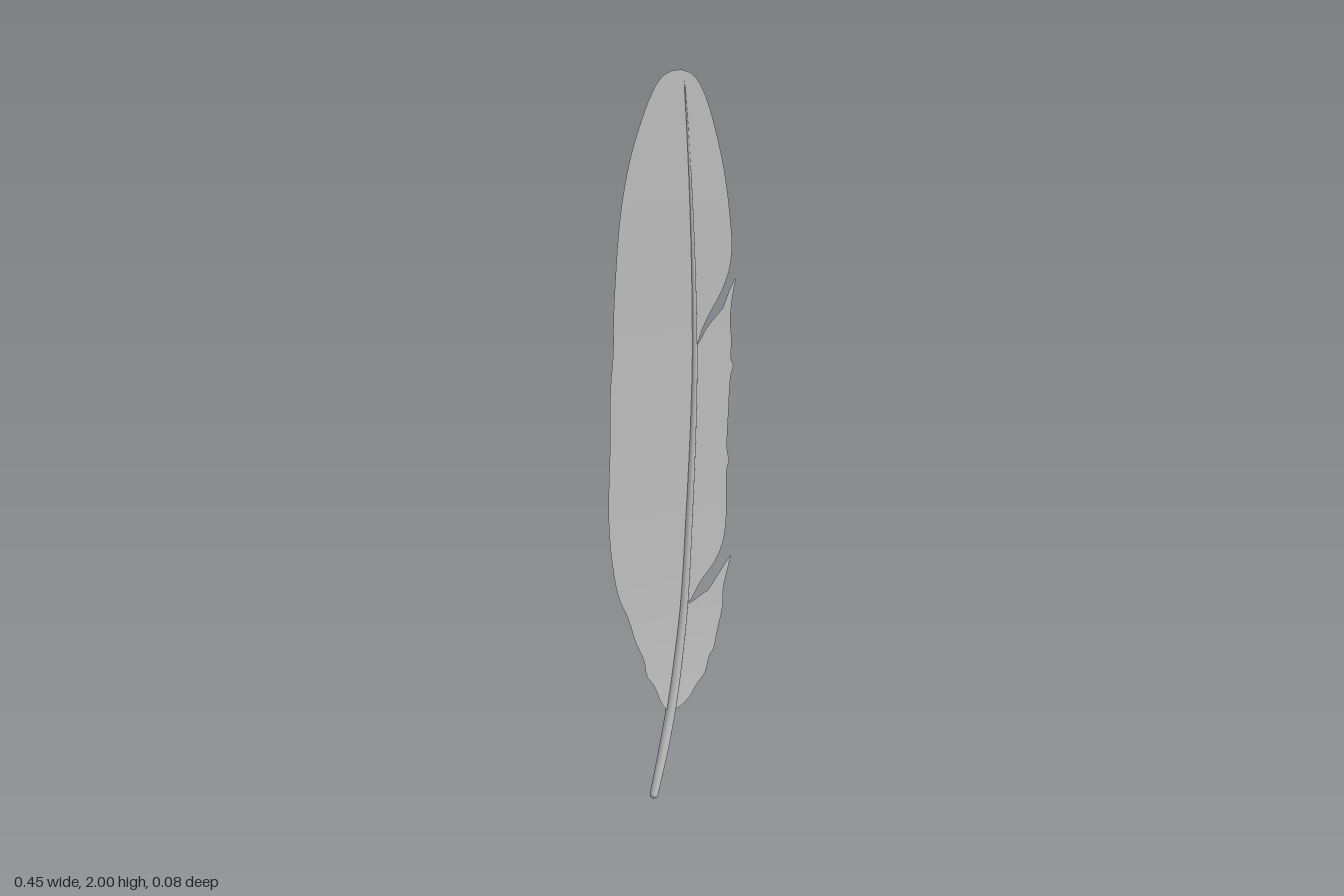
import * as THREE from 'three';

const grey = new THREE.MeshStandardMaterial({ color: 0xc0c0c0, side: THREE.DoubleSide });
grey.name = 'feather grey';

// Centre line of the feather: x, y, z, and shaft radius
const SPINE = [
  [-0.117, 0.012, 0.027, 0.012], [-0.072, 0.12, 0.012, 0.014], [-0.03, 0.23, -0.004, 0.0145],
  [0.004, 0.36, -0.015, 0.014], [0.036, 0.53, -0.024, 0.0125], [0.06, 0.8, -0.029, 0.011],
  [0.073, 1.05, -0.028, 0.0095], [0.074, 1.26, -0.024, 0.008], [0.056, 1.6, -0.015, 0.0055],
  [0.023, 1.96, -0.006, 0.002], [0.01, 2.0, -0.005, 0.001],
];

// Smooth lookup of one spine column at height y
function spineAt(y, col) {
  let i = 0;
  while (i < SPINE.length - 2 && SPINE[i + 1][1] < y) i++;
  const slope = (k) => {
    const a = SPINE[Math.max(k - 1, 0)], b = SPINE[Math.min(k + 1, SPINE.length - 1)];
    return (b[col] - a[col]) / (b[1] - a[1]);
  };
  const a = SPINE[i], b = SPINE[i + 1], h = b[1] - a[1];
  const t = THREE.MathUtils.clamp((y - a[1]) / h, 0, 1), t2 = t * t, t3 = t2 * t;
  return (2 * t3 - 3 * t2 + 1) * a[col] + (t3 - 2 * t2 + t) * h * slope(i)
    + (3 * t2 - 2 * t3) * b[col] + (t3 - t2) * h * slope(i + 1);
}

// Thin sheet from the spine (yTop to yBottom) out to an edge curve, bent with the spine
function vane(name, yTop, yBottom, edge, side) {
  const rows = 110, cols = 6, pos = [], index = [];
  const curve = new THREE.CatmullRomCurve3(
    edge.map(([x, y]) => new THREE.Vector3(x, y, 0)), false, 'centripetal');
  curve.getSpacedPoints(rows).forEach((p, r) => {
    const yIn = THREE.MathUtils.lerp(yTop, yBottom, r / rows), xIn = spineAt(yIn, 0);
    for (let c = 0; c <= cols; c++) {
      const x = THREE.MathUtils.lerp(xIn, p.x, c / cols);
      const y = THREE.MathUtils.lerp(yIn, p.y, c / cols);
      pos.push(x, y, spineAt(y, 2));
      if (r < rows && c < cols) {
        const a = r * (cols + 1) + c, b = a + 1, d = a + cols + 1, e = d + 1;
        if (side > 0) index.push(a, d, b, b, d, e);
        else index.push(a, b, d, b, e, d);
      }
    }
  });
  const geo = new THREE.BufferGeometry();
  geo.setAttribute('position', new THREE.Float32BufferAttribute(pos, 3));
  geo.setIndex(index);
  geo.computeVertexNormals();
  const mesh = new THREE.Mesh(geo, grey);
  mesh.name = name;
  return mesh;
}

// Tapered round shaft that follows the spine
function shaft() {
  const rings = 80, yEnd = 1.96;
  const points = [];
  for (let i = 0; i <= rings; i++) {
    const y = THREE.MathUtils.lerp(0.012, yEnd, i / rings);
    points.push(new THREE.Vector3(spineAt(y, 0), y, spineAt(y, 2)));
  }
  const curve = new THREE.CatmullRomCurve3(points);
  const geo = new THREE.TubeGeometry(curve, rings, 1, 12, false);
  const p = geo.attributes.position, v = new THREE.Vector3();
  for (let i = 0; i < p.count; i++) {
    const centre = curve.getPointAt(Math.floor(i / 13) / rings);
    v.fromBufferAttribute(p, i).sub(centre).multiplyScalar(spineAt(centre.y, 3)).add(centre);
    p.setXYZ(i, v.x, v.y, v.z);
  }
  const mesh = new THREE.Mesh(geo, grey);
  mesh.name = 'shaft';
  return mesh;
}

export function createModel() {
  const feather = new THREE.Group();
  feather.name = 'feather';
  feather.add(shaft());

  // Rounded foot of the shaft
  const foot = new THREE.Mesh(new THREE.SphereGeometry(0.012, 14, 10), grey);
  foot.name = 'shaftFoot';
  foot.position.set(-0.117, 0.012, 0.027);
  feather.add(foot);

  // Unbroken vane on the -x side
  feather.add(vane('wideVane', 2.0, 0.225, [
    [0.01, 2.0], [-0.03, 1.993], [-0.065, 1.97], [-0.095, 1.925], [-0.125, 1.86], [-0.155, 1.78],
    [-0.18, 1.68], [-0.195, 1.58], [-0.205, 1.45], [-0.21, 1.34], [-0.21, 1.26], [-0.218, 1.17],
    [-0.22, 1.0], [-0.226, 0.82], [-0.218, 0.7], [-0.197, 0.59], [-0.165, 0.52], [-0.142, 0.45],
    [-0.115, 0.39], [-0.108, 0.345], [-0.085, 0.315], [-0.06, 0.255], [-0.035, 0.225],
  ], -1));

  // Vane on the +x side, split in three by two slits
  feather.add(vane('upperVane', 2.0, 1.265, [
    [0.01, 2.0], [0.045, 1.992], [0.075, 1.968], [0.105, 1.92], [0.14, 1.835], [0.17, 1.74],
    [0.193, 1.63], [0.205, 1.53], [0.198, 1.47], [0.172, 1.41], [0.13, 1.35], [0.102, 1.305],
    [0.085, 1.265],
  ], 1));
  feather.add(vane('middleVane', 1.262, 0.53, [
    [0.085, 1.262], [0.12, 1.31], [0.155, 1.342], [0.18, 1.365], [0.2, 1.41], [0.222, 1.442],
    [0.212, 1.39], [0.206, 1.33], [0.212, 1.27], [0.213, 1.21], [0.222, 1.195], [0.213, 1.17],
    [0.206, 1.06], [0.203, 0.95], [0.211, 0.92], [0.203, 0.9], [0.2, 0.75], [0.186, 0.68],
    [0.155, 0.63], [0.1, 0.58], [0.06, 0.53],
  ], 1));
  feather.add(vane('lowerVane', 0.525, 0.225, [
    [0.06, 0.525], [0.11, 0.545], [0.155, 0.56], [0.185, 0.6], [0.217, 0.64], [0.202, 0.592],
    [0.188, 0.55], [0.182, 0.49], [0.162, 0.43], [0.14, 0.37], [0.128, 0.36], [0.105, 0.31],
    [0.075, 0.285], [0.045, 0.255], [0.01, 0.235], [-0.03, 0.225],
  ], 1));
  return feather;
}
